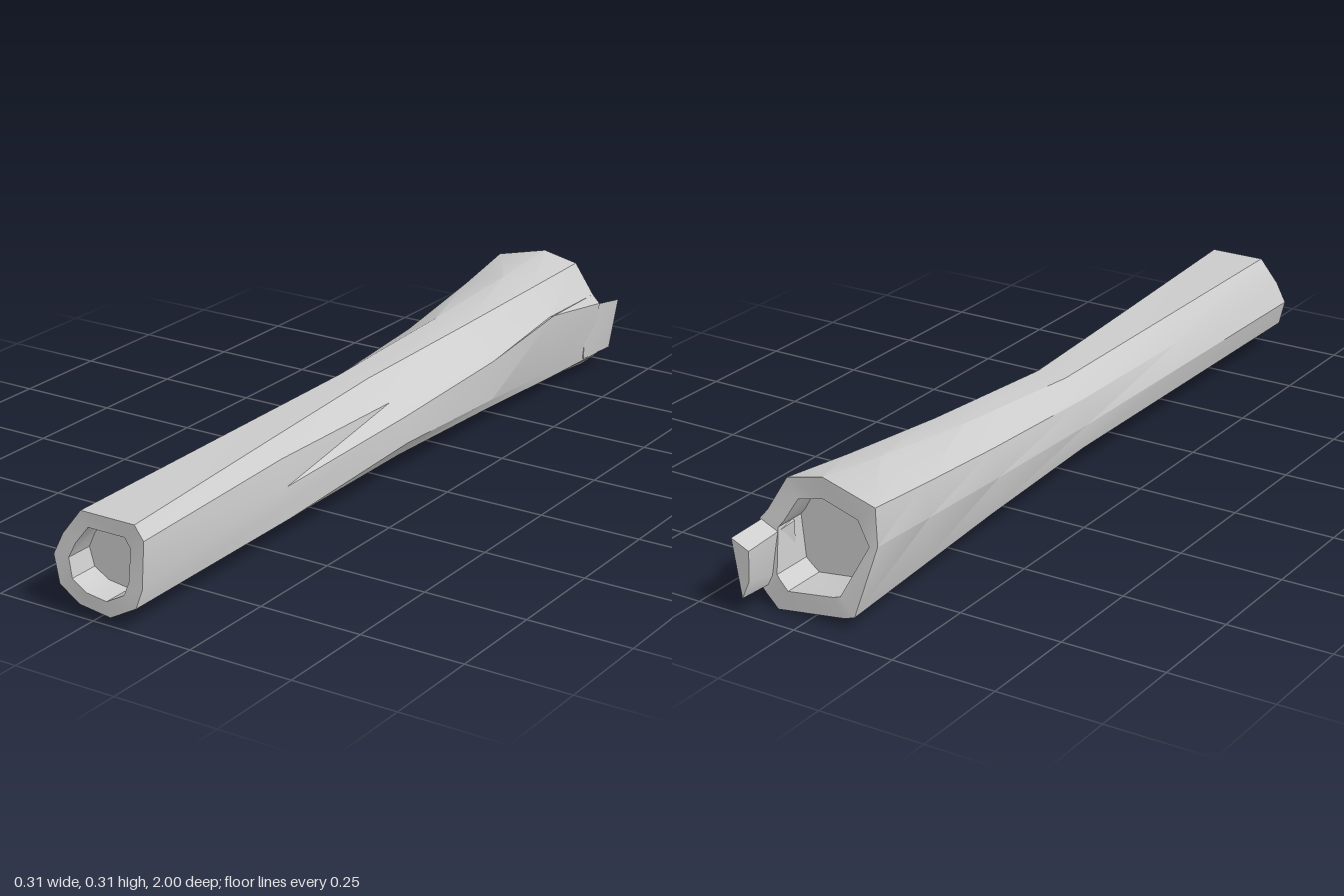
import * as THREE from 'three';
import { toCreasedNormals } from 'three/addons/utils/BufferGeometryUtils.js';

const material = new THREE.MeshStandardMaterial({ color: 0xcccccc, side: THREE.DoubleSide });
const { lerp } = THREE.MathUtils;

// A ring is a clockwise outline; depth is z as a function of height, so ends can be cut at a slant.
const ring = (outline, depth) => outline.map(([x, y]) => new THREE.Vector3(x, y, depth(y)));

// Blends two outlines corner by corner.
const blend = (a, b, t) => a.map(([x, y], i) => [lerp(x, b[i][0], t), lerp(y, b[i][1], t)]);

// Shrinks a ring around a centre to make the mouth of a hollow; scaleAt varies it per corner.
const shrink = (source, cx, cy, scaleAt) => source.map((p, i) =>
  new THREE.Vector3(lerp(cx, p.x, scaleAt(i)), lerp(cy, p.y, scaleAt(i)), p.z));

const atDepth = (source, z) => source.map((p) => new THREE.Vector3(p.x, p.y, z));

// Skins consecutive rings, running front to back, with optional end caps.
function loft(name, rings, capStart, capEnd) {
  const n = rings[0].length;
  const points = [];
  for (let i = 0; i < rings.length - 1; i++) {
    const near = rings[i];
    const far = rings[i + 1];
    for (let j = 0; j < n; j++) {
      const k = (j + 1) % n;
      points.push(near[j], near[k], far[j], near[k], far[k], far[j]);
    }
  }
  const cap = (edge) => {
    const mid = new THREE.Vector3();
    edge.forEach((p) => mid.addScaledVector(p, 1 / n));
    edge.forEach((p, j) => points.push(mid, p, edge[(j + 1) % n]));
  };
  if (capStart) cap([...rings[0]].reverse());
  if (capEnd) cap(rings[rings.length - 1]);
  const geometry = new THREE.BufferGeometry().setFromPoints(points);
  const mesh = new THREE.Mesh(toCreasedNormals(geometry, 0.45), material);
  mesh.name = name;
  return mesh;
}

export function createModel() {
  const group = new THREE.Group();
  group.name = 'hollowLog';

  // Key outlines; corners 3 and 4 bound the raised ridge on the left flank.
  const frontOutline = [[-0.04, 0.235], [0.1, 0.235], [0.112, 0.22], [0.125, 0.205], [0.125, 0.1],
    [0.11, 0.055], [0.045, 0.02], [-0.035, 0.03], [-0.09, 0.062], [-0.108, 0.125], [-0.085, 0.175]];
  const waistOutline = [[-0.045, 0.235], [0.03, 0.238], [0.09, 0.19], [0.135, 0.165], [0.14, 0.1],
    [0.115, 0.065], [0.05, 0.045], [-0.04, 0.045], [-0.095, 0.07], [-0.105, 0.13], [-0.09, 0.19]];
  const backOutline = [[-0.005, 0.31], [0.085, 0.29], [0.13, 0.21], [0.148, 0.188], [0.133, 0.043],
    [0.12, 0.03], [0.085, 0.002], [-0.085, 0.024], [-0.11, 0.032], [-0.155, 0.195], [-0.142, 0.275]];

  // Cross-section at any z, flaring towards the back, with the ridge corners nudged.
  const section = (z, ridgeX, ridgeY) => {
    const outline = z > 0
      ? blend(waistOutline, frontOutline, z)
      : blend(waistOutline, backOutline, (-z / 0.91) ** 1.3);
    outline[3][0] += ridgeX;
    outline[3][1] += ridgeY;
    outline[4][0] += ridgeX;
    return ring(outline, () => z);
  };

  // Outer bark
  const front = ring(frontOutline, (y) => 1 - 0.09 * y);
  const back = ring(backOutline, (y) => -0.94 + 0.16 * y);
  group.add(loft('bark', [
    front,
    section(0.45, -0.02, -0.045),
    section(0, 0, 0),
    section(-0.4, -0.006, 0.007),
    section(-0.7, -0.012, 0.03),
    back,
  ], false, false));

  // Front rim and shallow hollow
  const frontLip = shrink(front, 0.017, 0.128, () => 0.68);
  group.add(loft('frontHollow', [atDepth(frontLip, 0.92), frontLip, front], true, false));

  // Back rim and hollow, with a bite out of the right side
  const backLip = shrink(back, 0, 0.155, (i) => (i === 9 ? 0.86 : 0.68));
  group.add(loft('backHollow', [back, backLip, atDepth(backLip, -0.83)], false, true));

  // Splinter that carries the left ridge past the back rim
  const splinterRoot = [[0.095, 0.175], [0.138, 0.192], [0.133, 0.048], [0.095, 0.06]];
  const splinterTip = [[0.11, 0.155], [0.155, 0.175], [0.132, 0.04], [0.112, 0.085]];
  group.add(loft('splinter', [
    ring(splinterRoot, () => -0.86),
    ring(splinterTip, () => -1),
  ], true, true));

  return group;
}
